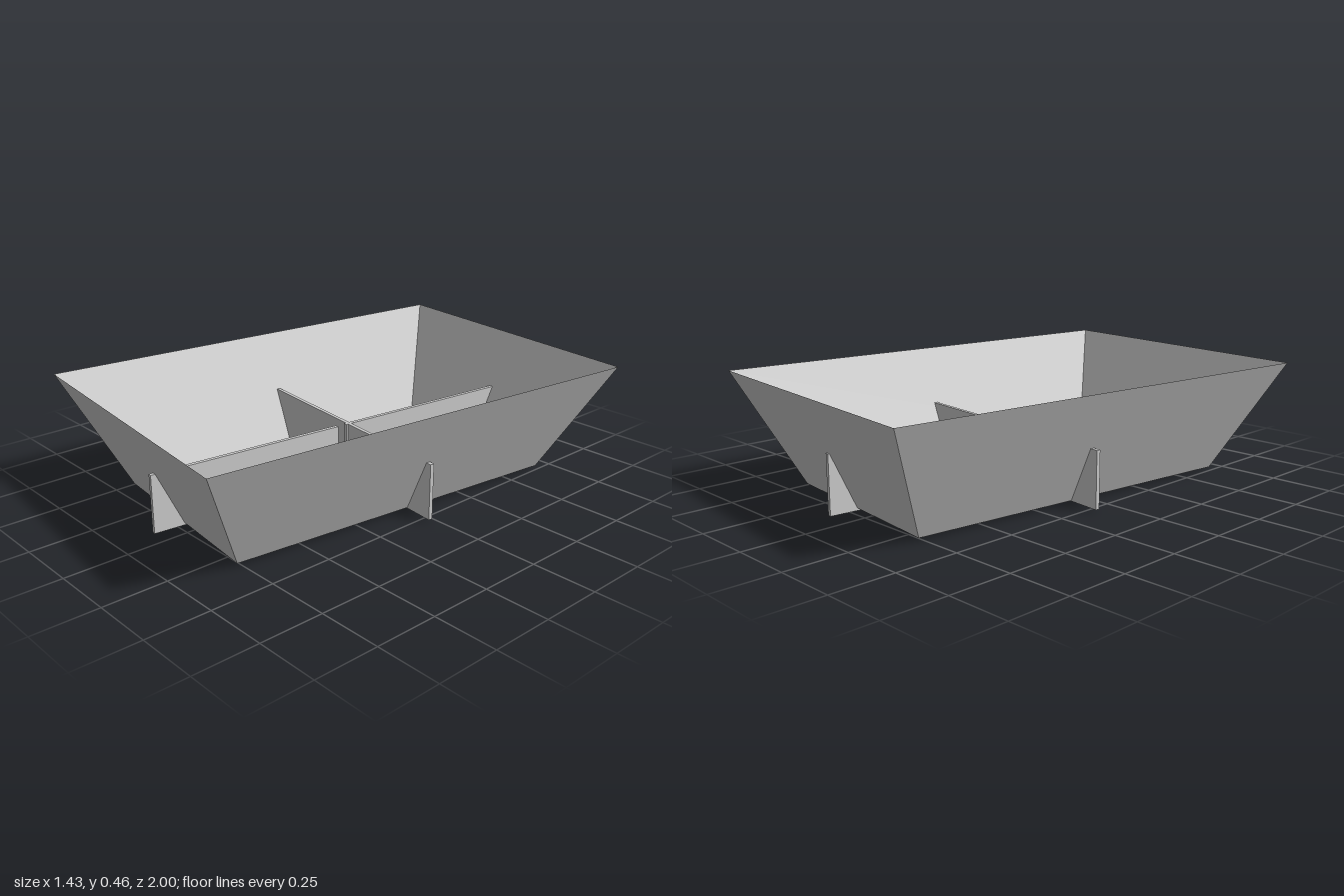
import * as THREE from 'three';

const FLOOR = 0.01, RIM = 0.46, TOP = 0.233, THICK = 0.016;

// Flat four-cornered panels, each with its own normal
function panels(quads, material) {
  const pos = [];
  for (const [a, b, c, d] of quads) pos.push(...a, ...b, ...c, ...a, ...c, ...d);
  const geometry = new THREE.BufferGeometry();
  geometry.setAttribute('position', new THREE.Float32BufferAttribute(pos, 3));
  geometry.computeVertexNormals();
  return new THREE.Mesh(geometry, material);
}

// Corners of a rectangle at height y
const ring = (w, l, y) =>
  [[-1, 1], [1, 1], [1, -1], [-1, -1]].map(([x, z]) => [x * w / 2, y, z * l / 2]);

// Upright board extruded from an outline and centred on its thickness
function board(points, material) {
  const shape = new THREE.Shape(points.map(([x, y]) => new THREE.Vector2(x, y)));
  const geometry = new THREE.ExtrudeGeometry(shape, { depth: THICK, bevelEnabled: false });
  geometry.translate(0, 0, -THICK / 2);
  return new THREE.Mesh(geometry, material);
}

export function createModel() {
  const material = new THREE.MeshStandardMaterial({
    color: 0xcccccc, flatShading: true, side: THREE.DoubleSide,
  });
  const model = new THREE.Group();
  model.name = 'trayWithDividers';

  // Thin-walled tray flaring from floor to rim
  const low = ring(0.816, 1.448, FLOOR), high = ring(1.233, 1.871, RIM);
  const walls = panels(low.map((p, i) => {
    const j = (i + 1) % 4;
    return [p, low[j], high[j], high[i]];
  }), material);
  walls.name = 'trayWalls';
  const floor = panels([low], material);
  floor.name = 'trayFloor';

  // Lengthwise board with an open slot in its top edge
  const long = board([
    [-0.847, 0], [0.835, 0], [0.835, TOP], [0.02, TOP],
    [0.02, 0.03], [-0.02, 0.03], [-0.02, TOP], [-0.847, TOP],
  ], material);
  long.name = 'lengthwiseDivider';
  long.rotation.y = Math.PI / 2;
  long.position.x = 0.015;

  // Crosswise board passing through the side walls
  const cross = board([
    [-0.545, 0.008], [0.535, 0.008], [0.535, TOP], [-0.545, TOP],
  ], material);
  cross.name = 'crosswiseDivider';
  cross.position.z = -0.037;

  model.add(walls, floor, long, cross);
  // Whole tray stands slightly turned
  model.rotation.y = -0.112;
  const root = new THREE.Group();
  root.add(model);
  return root;
}
